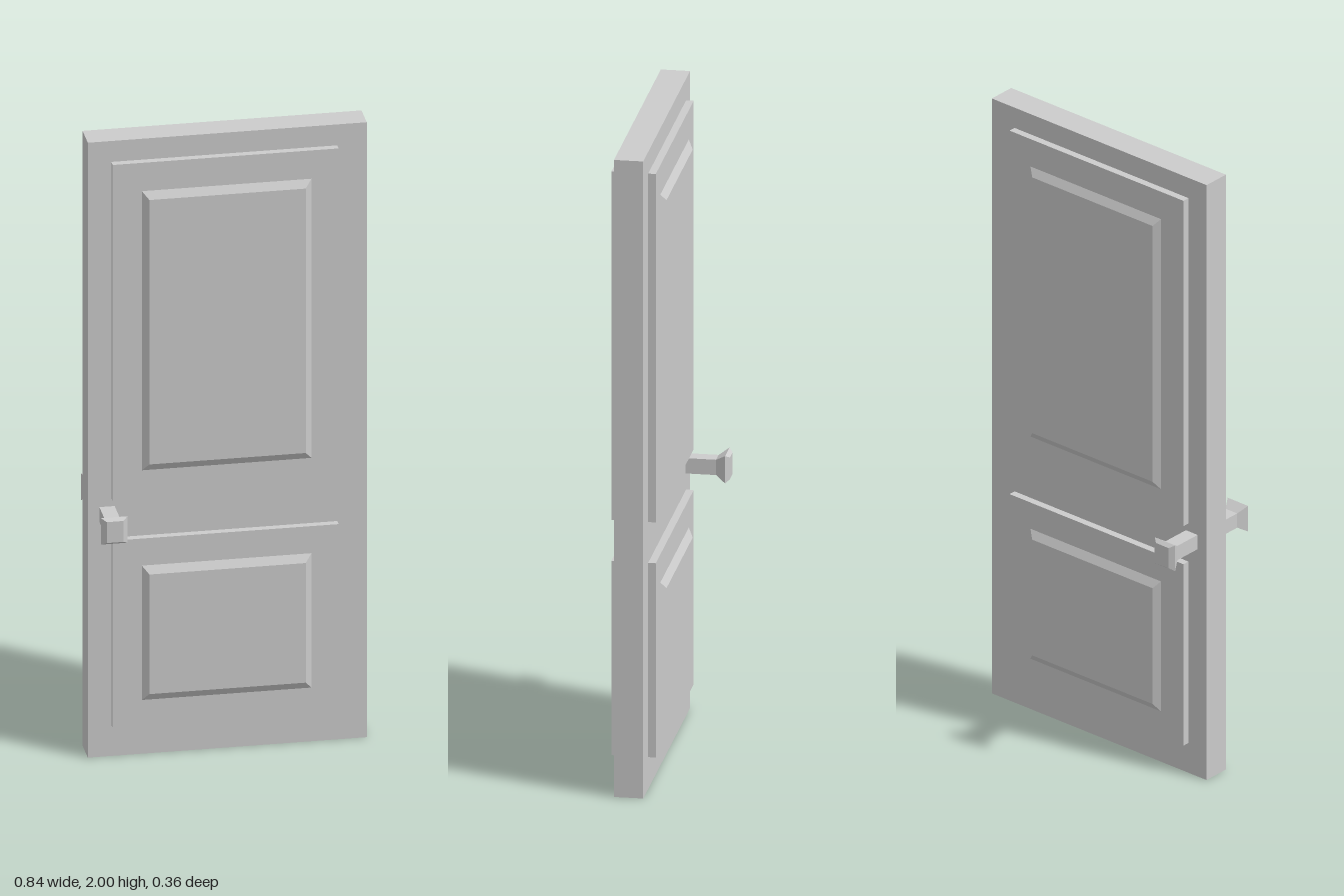
import * as THREE from 'three';

const material = new THREE.MeshStandardMaterial({ color: 0xcccccc, flatShading: true });

// Solid through rectangular sections [halfWidth, halfHeight, z], ordered by rising z
function loftRectangles(sections) {
  const positions = [];
  const rings = sections.map(([w, h, z]) => [[-w, -h, z], [w, -h, z], [w, h, z], [-w, h, z]]);
  const quad = (a, b, c, d) => positions.push(...a, ...b, ...c, ...a, ...c, ...d);
  for (let i = 0; i < rings.length - 1; i++) {
    for (let k = 0; k < 4; k++) {
      const n = (k + 1) % 4;
      quad(rings[i][k], rings[i][n], rings[i + 1][n], rings[i + 1][k]);
    }
  }
  const first = rings[0], last = rings[rings.length - 1];
  quad(last[0], last[1], last[2], last[3]);
  quad(first[3], first[2], first[1], first[0]);
  const geometry = new THREE.BufferGeometry();
  geometry.setAttribute('position', new THREE.Float32BufferAttribute(positions, 3));
  geometry.computeVertexNormals();
  return geometry;
}

export function createModel() {
  const door = new THREE.Group();
  door.name = 'door';

  const add = (name, geometry, x, y, back = false) => {
    const mesh = new THREE.Mesh(geometry, material);
    mesh.name = name;
    mesh.position.set(x, y, 0);
    if (back) mesh.rotation.y = Math.PI;
    door.add(mesh);
  };

  // Main slab
  add('doorSlab', new THREE.BoxGeometry(0.842, 2, 0.088), 0, 1);

  // Panel borders and bevelled raised fields: vertical extents of each
  const panels = [
    { name: 'lower', border: [0.1, 0.71], field: [0.185, 0.622] },
    { name: 'upper', border: [0.838, 1.932], field: [0.932, 1.84] },
  ];

  // Square knob: stem, flare, bevelled cap
  const knob = loftRectangles([
    [0.023, 0.024, 0.04],
    [0.023, 0.024, 0.136],
    [0.04, 0.043, 0.166],
    [0.025, 0.034, 0.178],
  ]);

  for (const back of [false, true]) {
    const side = back ? 'Back' : 'Front';
    for (const { name, border: [b0, b1], field: [f0, f1] } of panels) {
      const border = loftRectangles([
        [0.341, (b1 - b0) / 2, 0.04],
        [0.341, (b1 - b0) / 2, 0.067],
      ]);
      add(name + 'PanelBorder' + side, border, -0.009, (b0 + b1) / 2, back);

      const h = (f1 - f0) / 2;
      const field = loftRectangles([[0.256, h, 0.06], [0.256, h, 0.067], [0.236, h - 0.024, 0.082]]);
      add(name + 'PanelField' + side, field, -0.006, (f0 + f1) / 2, back);
    }
    add('knob' + side, knob, -0.363, 0.788, back);
  }

  return door;
}
